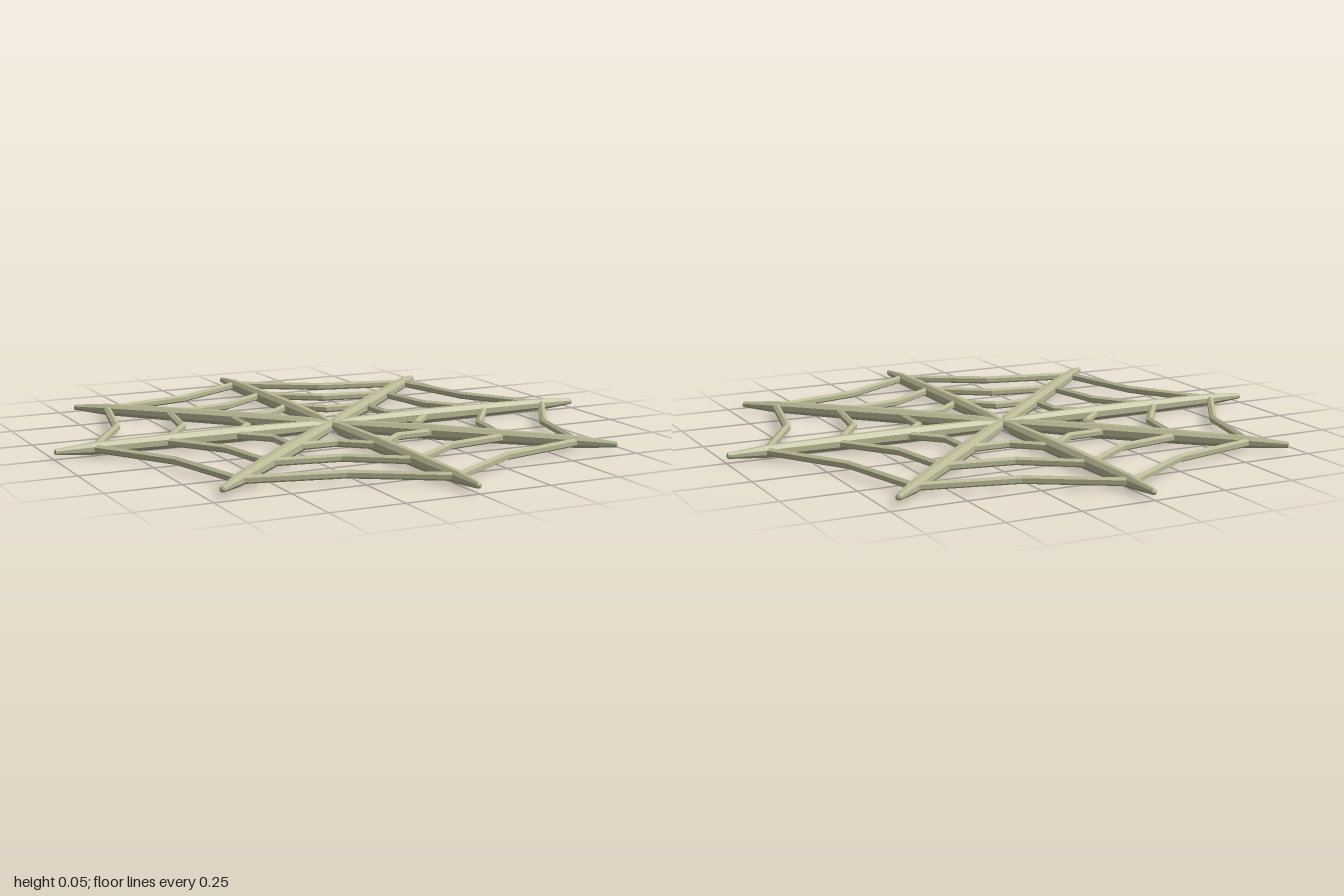
import * as THREE from 'three';

const material = new THREE.MeshStandardMaterial({ color: 0xb9b996, flatShading: true });
const MID_Y = 0.029;

// Tapered strand running from the hub to a pointed tip
function makeSpoke() {
  const profile = [
    [0, 0], [0.011, 0], [0.022, 0.08], [0.027, 0.36],
    [0.025, 0.62], [0.021, 0.87], [0.01, 0.995], [0, 1],
  ].map(([r, d]) => new THREE.Vector2(r, d));
  return new THREE.LatheGeometry(profile, 8, Math.PI / 8);
}

// Closed zigzag thread: corners alternate between spokes and sagging midpoints
function makeThread(outer, inner, radius, sides = 6) {
  const corners = 16, step = Math.PI / 8;
  const dx = inner * Math.sin(step), dz = outer - inner * Math.cos(step);
  const slope = Math.atan2(dz, dx);
  const positions = [], index = [];
  for (let i = 0; i < corners; i++) {
    const a = i * step;
    const r = i % 2 ? inner : outer;
    // mitre keeps the thread equally thick on both sides of a corner
    const mitre = radius / Math.cos(i % 2 ? slope - step : slope);
    for (let j = 0; j < sides; j++) {
      const b = (j + 0.5) / sides * Math.PI * 2;
      const d = r + Math.cos(b) * mitre;
      positions.push(Math.sin(a) * d, Math.sin(b) * radius, Math.cos(a) * d);
      const i2 = (i + 1) % corners, j2 = (j + 1) % sides;
      const p = i * sides + j, q = i2 * sides + j;
      const s = i2 * sides + j2, t = i * sides + j2;
      index.push(p, q, s, p, s, t);
    }
  }
  const geometry = new THREE.BufferGeometry();
  geometry.setAttribute('position', new THREE.Float32BufferAttribute(positions, 3));
  geometry.setIndex(index);
  geometry.computeVertexNormals();
  return geometry;
}

export function createModel() {
  const web = new THREE.Group();
  web.name = 'spiderWeb';

  // Eight radial spokes
  const spokeGeometry = makeSpoke();
  for (let i = 0; i < 8; i++) {
    const spoke = new THREE.Mesh(spokeGeometry, material);
    spoke.name = `spoke${i + 1}`;
    spoke.rotation.set(Math.PI / 2, 0, -i * Math.PI / 4);
    spoke.position.y = MID_Y;
    web.add(spoke);
  }

  // Three sagging rings of thread
  const rings = [
    ['innerThread', 0.375, 0.293],
    ['middleThread', 0.618, 0.518],
    ['outerThread', 0.866, 0.746],
  ];
  for (const [name, outer, inner] of rings) {
    const thread = new THREE.Mesh(makeThread(outer, inner, 0.014), material);
    thread.name = name;
    thread.position.y = MID_Y;
    web.add(thread);
  }
  return web;
}
